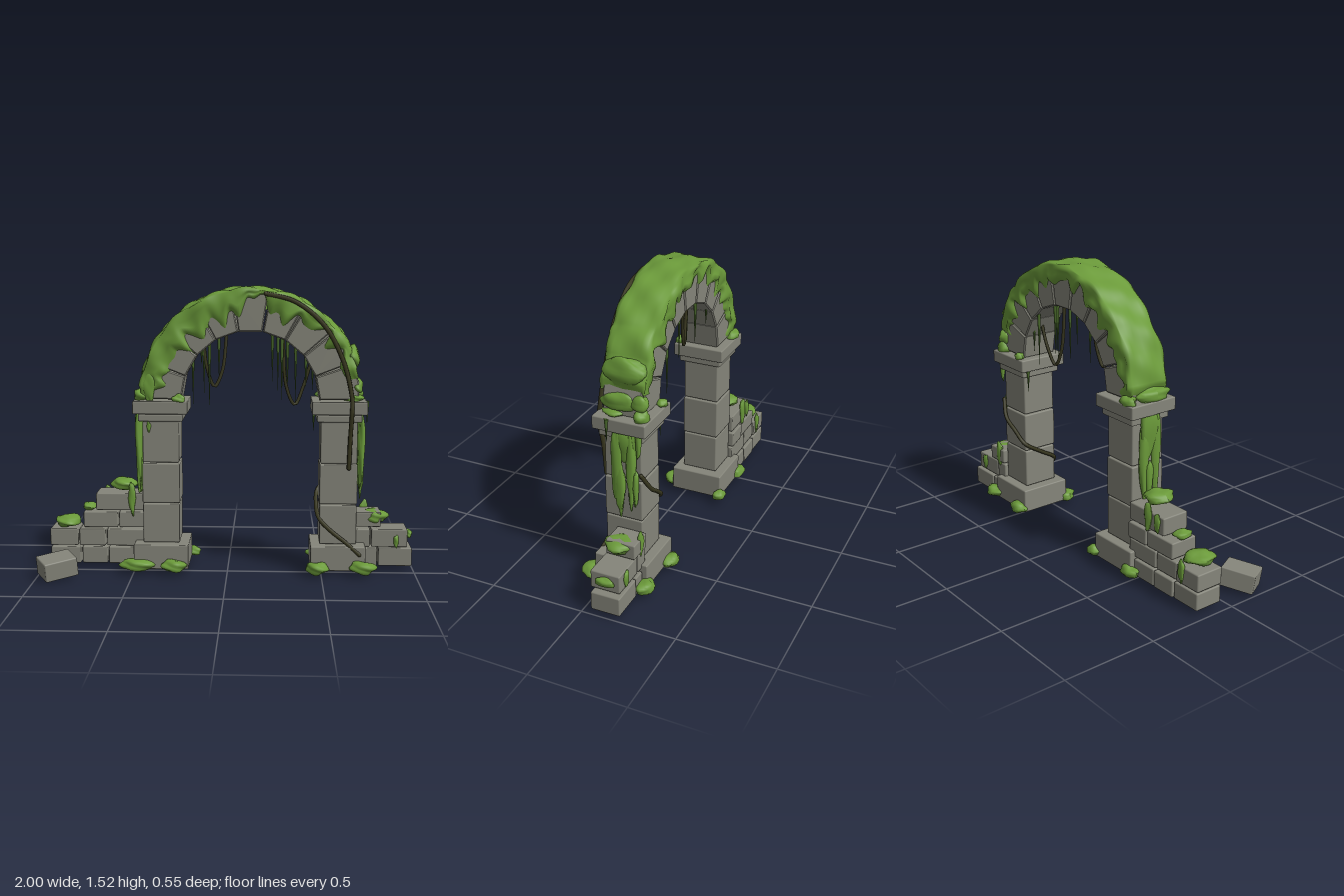
import * as THREE from 'three';
import { RoundedBoxGeometry } from 'three/addons/geometries/RoundedBoxGeometry.js';

const stone = new THREE.MeshStandardMaterial({ color: 0x85857a });
stone.name = 'stone';
const moss = new THREE.MeshStandardMaterial({ color: 0x6b9a3a, side: THREE.DoubleSide });
moss.name = 'moss';
const vine = new THREE.MeshStandardMaterial({ color: 0x38371f });
vine.name = 'vine';
const strandGreen = new THREE.MeshStandardMaterial({ color: 0x4a6a2b });
strandGreen.name = 'strand green';

const CX = 0.12, CY = 0.935, ZC = -0.08; // centre of the arch
const V = (x, y, z) => new THREE.Vector3(x, y, z);

export function createModel() {
  const model = new THREE.Group();
  model.name = 'mossyArch';

  function add(name, geometry, material, parent = model) {
    const mesh = new THREE.Mesh(geometry, material);
    mesh.name = name;
    parent.add(mesh);
    return mesh;
  }

  // Stone block given by its extents
  function block(name, x0, x1, y0, y1, z0, z1, parent) {
    const g = new RoundedBoxGeometry(x1 - x0, y1 - y0, z1 - z0, 1, 0.007);
    const m = add(name, g, stone, parent);
    m.position.set((x0 + x1) / 2, (y0 + y1) / 2, (z0 + z1) / 2);
    return m;
  }

  // Lumpy moss cushion; taper > 0 narrows it towards the bottom
  let seed = 0;
  function clump(name, x, y, z, sx, sy, sz, taper = 0) {
    const g = new THREE.SphereGeometry(1, 16, 12);
    const p = g.attributes.position;
    const s = (seed += 1.7);
    for (let i = 0; i < p.count; i++) {
      const v = V().fromBufferAttribute(p, i);
      const n = 1 + 0.13 * Math.sin(v.x * 4 + s) * Math.cos(v.z * 3.6 + s * 2) + 0.09 * Math.sin(v.y * 5 + v.x * 3 + s * 3);
      const t = 1 - taper * (0.5 - v.y / 2);
      p.setXYZ(i, v.x * n * t * sx, v.y * n * sy, v.z * n * t * sz);
    }
    g.computeVertexNormals();
    add(name, g, moss).position.set(x, y, z);
  }

  function tube(name, points, radius, material = vine) {
    const curve = new THREE.CatmullRomCurve3(points.map(p => V(...p)));
    add(name, new THREE.TubeGeometry(curve, 48, radius, 7), material);
    for (const end of [points[0], points[points.length - 1]]) {
      add(name + 'End', new THREE.SphereGeometry(radius, 7, 5), material).position.set(...end);
    }
  }

  // Pillars: plinth, three shaft blocks, two-step capital
  for (const [name, x] of [['rightPillar', -0.352], ['leftPillar', 0.588]]) {
    const pillar = new THREE.Group();
    pillar.name = name;
    model.add(pillar);
    block('plinth', x - 0.146, x + 0.146, 0.03, 0.162, ZC - 0.145, ZC + 0.145, pillar);
    [[0.165, 0.377, 0.098], [0.382, 0.595, 0.1], [0.6, 0.818, 0.097]].forEach(([y0, y1, h]) =>
      block('shaftBlock', x - h, x + h, y0, y1, ZC - h, ZC + h, pillar));
    block('capitalNeck', x - 0.118, x + 0.118, 0.822, 0.86, ZC - 0.118, ZC + 0.118, pillar);
    block('capital', x - 0.145, x + 0.145, 0.863, 0.932, ZC - 0.14, ZC + 0.14, pillar);
  }

  // Nine wedge stones of the arch
  for (let i = 0; i < 9; i++) {
    const a0 = THREE.MathUtils.degToRad(i * 20 + 1.2), a1 = THREE.MathUtils.degToRad(i * 20 + 18.8);
    const corner = (r, a) => new THREE.Vector2(r * Math.cos(a), r * Math.sin(a));
    const mid = (a0 + a1) / 2;
    const shape = new THREE.Shape([corner(0.368, a0), corner(0.562, a0), corner(0.568, mid), corner(0.562, a1), corner(0.368, a1)]);
    const g = new THREE.ExtrudeGeometry(shape, { depth: 0.19, bevelSize: 0.006, bevelThickness: 0.006, bevelSegments: 1 });
    add('archStone', g, stone).position.set(CX, CY, ZC - 0.095);
  }

  // Ruined side walls: rows of [y0, y1, joints in x]
  const rows = [
    [0.03, 0.122, [-0.965, -0.795, -0.65, -0.495]],
    [0.13, 0.222, [-0.968, -0.808, -0.658, -0.45]],
    [0.23, 0.316, [-0.785, -0.592, -0.45]],
    [0.326, 0.42, [-0.715, -0.45]],
    [0.03, 0.13, [0.735, 0.808, 0.995]],
    [0.138, 0.235, [0.686, 0.768, 0.968]],
    [0.245, 0.325, [0.686, 0.825]],
  ];
  rows.forEach(([y0, y1, xs], r) => {
    for (let i = 0; i < xs.length - 1; i++) {
      const d = 0.006 * Math.sin(r * 3 + i * 5);
      block('wallBrick', xs[i] + 0.003, xs[i + 1] - 0.003, y0, y1, -0.198 + d, -0.042 + d);
    }
  });

  // Fallen block
  const fallen = block('fallenBlock', -0.09, 0.09, -0.05, 0.05, -0.075, 0.075);
  fallen.rotation.set(0.1, 0.52, 0.12, 'YXZ');
  fallen.position.set(-0.89, 0.072, 0.163);

  // Moss blanket over the arch: a swept strip with ragged hems
  const keys = [[8, 0.53], [40, 0.53], [58, 0.5], [70, 0.45], [77, 0.47], [82, 0.555], [92, 0.55], [98, 0.45], [125, 0.44], [155, 0.46], [178, 0.5]];
  function baseHem(deg) {
    for (let i = 1; i < keys.length; i++) {
      if (deg <= keys[i][0]) {
        const t = (deg - keys[i - 1][0]) / (keys[i][0] - keys[i - 1][0]);
        return THREE.MathUtils.lerp(keys[i - 1][1], keys[i][1], t);
      }
    }
    return 0.5;
  }
  const drips = (d, s) => 0.045 * Math.pow(Math.abs(Math.sin(d * 0.21 + s)), 3) + 0.03 * Math.sin(d * 0.47 + s * 2) * Math.sin(d * 0.13);
  const M = 180, N = 16, pos = [], idx = [];
  for (let i = 0; i <= M; i++) {
    const deg = 12 + (166 * i) / M, a = THREE.MathUtils.degToRad(deg);
    const ends = Math.min(1, i / 6, (M - i) / 6);
    const hemF = Math.min(0.565, baseHem(deg) - drips(deg, 0.4));
    const hemB = Math.min(0.56, 0.49 - drips(deg, 2.1) + 0.02 * Math.sin(deg * 0.08));
    for (let j = 0; j <= N; j++) {
      const lump = 0.006 * Math.sin(deg * 0.31 + j * 0.9) + 0.005 * Math.sin(deg * 0.17 - j * 1.7);
      let r, z;
      if (j <= 4 || j >= N - 4) { // hanging front and back faces
        const front = j <= 4, t = (front ? j : N - j) / 4;
        r = THREE.MathUtils.lerp(front ? hemF : hemB, 0.575, t);
        const out = 0.1 + (t === 0 ? -0.008 : (0.016 + lump) * (0.4 + 0.6 * ends));
        z = ZC + (front ? out : -out);
      } else { // top surface
        const t = (j - 4) / (N - 8);
        z = ZC + 0.115 * Math.cos(Math.PI * t) * (1 - 0.15 * Math.sin(Math.PI * t));
        r = 0.577 + 0.012 * Math.sin(Math.PI * t) + lump * 0.9;
        r += 0.012 * Math.max(0, Math.sin(deg * 0.22)) * (deg < 50 ? 1 : 0.2);
        r = THREE.MathUtils.lerp(0.56, r, ends);
      }
      pos.push(CX + r * Math.cos(a), CY + r * Math.sin(a), z);
      if (i < M && j < N) {
        const q = i * (N + 1) + j, w = q + N + 1;
        idx.push(q, q + 1, w, w, q + 1, w + 1);
      }
    }
  }
  const blanket = new THREE.BufferGeometry();
  blanket.setAttribute('position', new THREE.Float32BufferAttribute(pos, 3));
  blanket.setIndex(idx);
  blanket.computeVertexNormals();
  add('mossBlanket', blanket, moss);

  // Cushions at the plinths, on the walls and on the capitals
  [
    [-0.48, 0.055, 0.065, 0.085, 0.032, 0.05], [-0.285, 0.055, 0.085, 0.065, 0.032, 0.05],
    [-0.2, 0.057, -0.225, 0.045, 0.026, 0.035], [-0.49, 0.055, -0.225, 0.06, 0.03, 0.035],
    [0.48, 0.05, 0.08, 0.06, 0.032, 0.055], [0.72, 0.055, 0.08, 0.07, 0.033, 0.055],
    [0.49, 0.055, -0.24, 0.06, 0.03, 0.04], [0.755, 0.06, -0.225, 0.06, 0.03, 0.045],
    [-0.875, 0.255, -0.1, 0.072, 0.032, 0.08], [-0.755, 0.335, -0.11, 0.04, 0.022, 0.05],
    [-0.56, 0.465, -0.1, 0.07, 0.032, 0.075], [0.79, 0.295, -0.11, 0.07, 0.035, 0.075],
    [0.975, 0.195, -0.12, 0.022, 0.022, 0.05], [-0.255, 0.94, 0.035, 0.038, 0.026, 0.03],
    [-0.45, 0.955, -0.06, 0.05, 0.04, 0.1], [-0.43, 0.94, -0.19, 0.05, 0.03, 0.035],
    [0.66, 0.945, -0.03, 0.055, 0.025, 0.06], [0.68, 0.945, -0.18, 0.045, 0.04, 0.035],
    [0.68, 1.005, -0.06, 0.03, 0.045, 0.09], [0.67, 1.01, -0.165, 0.035, 0.045, 0.045],
    [0.655, 1.15, -0.08, 0.045, 0.075, 0.115], [0.5, 0.945, -0.2, 0.03, 0.02, 0.025],
  ].forEach(c => clump('mossCushion', ...c));

  // Hanging moss on pillar flanks and walls
  [
    [0.702, 0.79, -0.1, 0.025, 0.09, 0.07], [0.71, 0.66, -0.06, 0.025, 0.21, 0.035],
    [0.71, 0.55, -0.075, 0.024, 0.14, 0.034], [0.705, 0.66, -0.13, 0.024, 0.2, 0.032],
    [0.705, 0.57, -0.155, 0.02, 0.1, 0.02], [0.71, 0.84, -0.175, 0.02, 0.1, 0.02],
    [-0.475, 0.78, -0.09, 0.026, 0.15, 0.07], [-0.475, 0.66, -0.05, 0.024, 0.24, 0.034],
    [-0.47, 0.62, -0.12, 0.024, 0.2, 0.036], [-0.475, 0.52, -0.09, 0.022, 0.1, 0.03],
    [-0.515, 0.39, -0.038, 0.024, 0.09, 0.016], [-0.6, 0.39, -0.2, 0.03, 0.08, 0.018],
    [-0.67, 0.38, -0.2, 0.024, 0.05, 0.016], [-0.85, 0.2, -0.2, 0.025, 0.06, 0.016],
    [0.905, 0.17, -0.038, 0.018, 0.035, 0.014], [0.9, 0.19, -0.195, 0.026, 0.045, 0.016],
    [-0.415, 0.79, 0.02, 0.013, 0.03, 0.01], [-0.41, 0.99, 0.025, 0.04, 0.08, 0.016],
    [0.74, 0.29, -0.195, 0.03, 0.07, 0.018],
  ].forEach(c => clump('hangingMoss', ...c, 0.45));

  // Tapered strands under the arch: [x, top, bottom, z]
  [
    [-0.18, 1.2, 0.91, 0.0], [-0.145, 1.23, 1.1, -0.15], [-0.125, 1.24, 0.96, -0.05], [-0.095, 1.25, 0.87, -0.02],
    [-0.05, 1.27, 1.02, -0.13], [0.235, 1.28, 1.03, 0.0], [0.265, 1.27, 0.97, -0.12], [0.285, 1.26, 0.91, -0.01],
    [0.315, 1.25, 0.95, -0.07], [0.36, 1.23, 0.9, -0.16], [0.41, 1.17, 1.0, 0.0], [0.45, 1.13, 0.97, -0.13],
    [0.46, 0.87, 0.74, -0.17], [0.735, 0.93, 0.8, -0.02],
  ].forEach(([x, top, low, z]) => {
    const g = new THREE.ConeGeometry(0.011, top - low, 6);
    g.rotateX(Math.PI);
    add('hangingStrand', g, strandGreen).position.set(x, (top + low) / 2, z);
  });

  // Looped and climbing vines
  tube('loopVine', [[-0.13, 1.27, -0.05], [-0.11, 1.1, -0.05], [-0.07, 1.0, -0.06], [-0.03, 1.08, -0.07], [-0.005, 1.3, -0.08]], 0.009);
  tube('loopVine', [[0.29, 1.27, -0.04], [0.31, 1.0, -0.05], [0.355, 0.905, -0.06], [0.4, 1.0, -0.08], [0.45, 1.17, -0.09]], 0.009);
  tube('archVine', [[0.2, 1.49, 0.04], [0.35, 1.45, 0.044], [0.5, 1.33, 0.044], [0.6, 1.15, 0.044], [0.65, 0.95, 0.055], [0.65, 0.87, 0.064], [0.645, 0.75, 0.045], [0.64, 0.58, 0.035]], 0.012);
  tube('pillarVine', [[0.7, 0.12, 0.068], [0.63, 0.18, 0.05], [0.55, 0.24, 0.03], [0.49, 0.3, 0.015], [0.475, 0.36, -0.08], [0.49, 0.43, -0.185], [0.56, 0.49, -0.2], [0.64, 0.55, -0.205], [0.695, 0.64, -0.18]], 0.011);

  return model;
}
